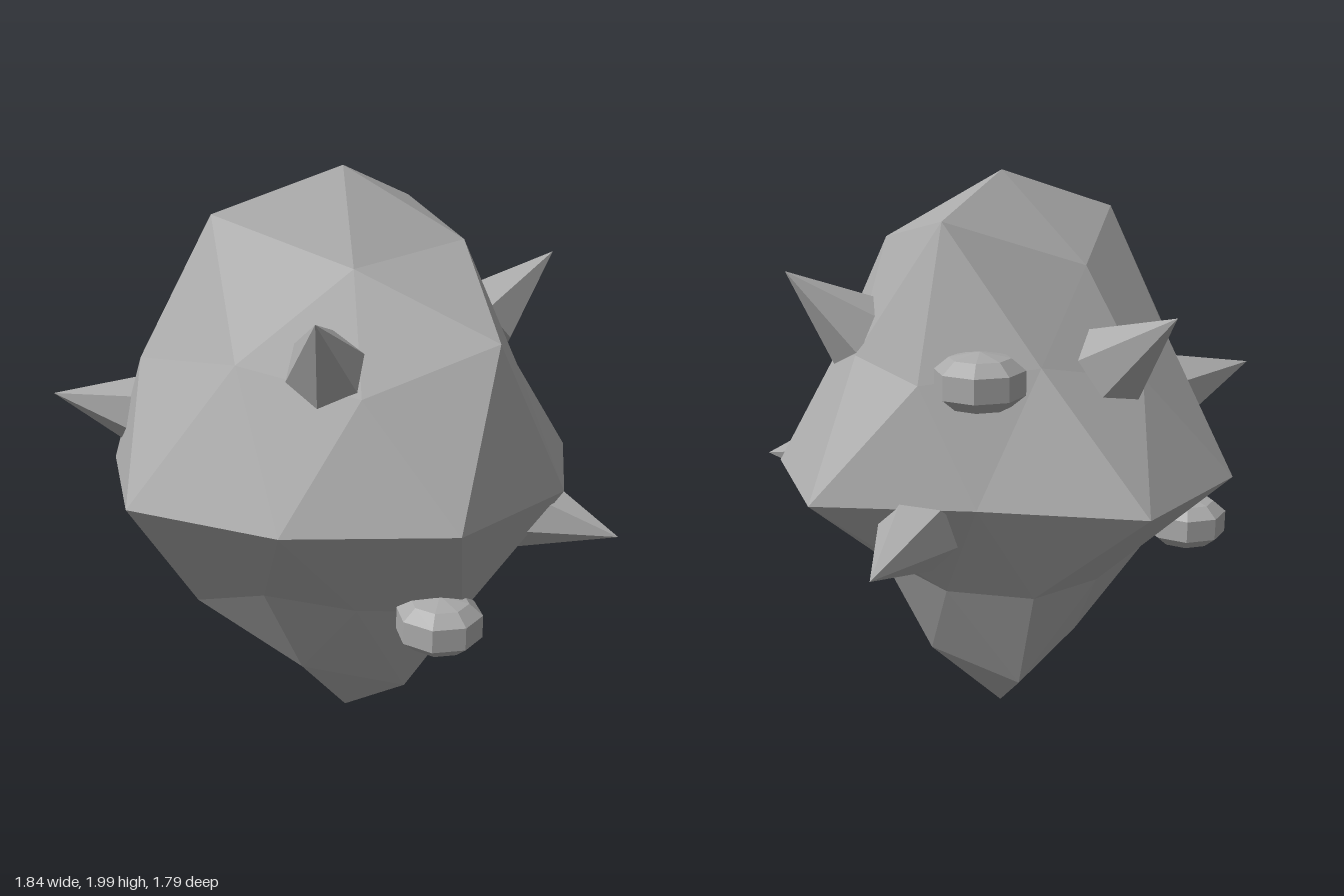
import * as THREE from 'three';

const CENTRE = new THREE.Vector3(-0.034, 1.024, 0.063);
const DEG = Math.PI / 180;

// Latitude rings of the rock: unit height, shaped width and height,
// first longitude (degrees from +z towards +x), then one radius per vertex.
const RINGS = [
  { at: 1, w: 0, h: 1.15, from: 0, r: [0.846] },
  { at: 0.851, w: 0.526, h: 0.978, from: 18, r: [0.713, 0.763, 0.857, 0.70, 0.855] },
  { at: 0.526, w: 0.851, h: 0.6045, from: 54, r: [0.832, 0.65, 0.69, 0.68, 0.727] },
  { at: 0.447, w: 0.894, h: 0.514, from: 18, r: [0.70, 0.66, 0.70, 0.68, 0.781] },
  { at: 0, w: 1, h: 0, from: 0, r: [0.828, 0.867, 0.815, 0.784, 0.8825, 0.70, 0.892, 0.8415, 0.79, 0.875] },
  { at: -0.447, w: 0.733, h: -0.514, from: 54, r: [0.80, 0.65, 0.715, 0.70, 0.69] },
  { at: -0.526, w: 0.6975, h: -0.6045, from: 18, r: [0.66, 0.62, 0.64, 0.64, 0.787] },
  { at: -0.851, w: 0.392, h: -0.978, from: 54, r: [0.815, 0.74, 0.80, 0.714, 0.735] },
  { at: -1, w: 0, h: -1.15, from: 0, r: [0.883] },
];

// Once-divided icosahedron standing on a point, its vertices pushed in and out
function rockGeometry() {
  const verts = [0, 1, 0, 0, -1, 0];
  const faces = [];
  const w = 2 / Math.sqrt(5), h = 1 / Math.sqrt(5);
  for (let k = 0; k < 5; k++) {
    const a = (18 + 72 * k) * DEG, b = (54 + 72 * k) * DEG;
    verts.push(w * Math.sin(a), h, w * Math.cos(a));
    verts.push(w * Math.sin(b), -h, w * Math.cos(b));
    const n = (k + 1) % 5;
    const u = 2 + 2 * k, l = u + 1, u2 = 2 + 2 * n, l2 = u2 + 1;
    faces.push(0, u, u2, u, l, u2, l, l2, u2, 1, l2, l);
  }
  const geo = new THREE.PolyhedronGeometry(verts, faces, 1, 1);
  const pos = geo.attributes.position;
  for (let i = 0; i < pos.count; i++) {
    const y = pos.getY(i);
    const ring = RINGS.reduce((p, q) => (Math.abs(q.at - y) < Math.abs(p.at - y) ? q : p));
    const n = ring.r.length;
    const lon = Math.atan2(pos.getX(i), pos.getZ(i)) / DEG;
    const step = ((Math.round((lon - ring.from) * n / 360) % n) + n) % n;
    const angle = (ring.from + step * 360 / n) * DEG;
    const r = ring.r[step];
    pos.setXYZ(i, ring.w * r * Math.sin(angle), ring.h * r, ring.w * r * Math.cos(angle));
  }
  geo.computeVertexNormals();
  return geo;
}

export function createModel() {
  const model = new THREE.Group();
  model.name = 'spikedRock';
  const stone = new THREE.MeshStandardMaterial({ color: 0xaaaaaa, flatShading: true });
  stone.name = 'grey stone';

  const rock = new THREE.Mesh(rockGeometry(), stone);
  rock.name = 'rockBody';
  rock.position.copy(CENTRE);
  model.add(rock);

  // Spikes point straight out from the centre
  const length = 0.32;
  const spikeGeo = new THREE.ConeGeometry(0.137, length, 6);
  const tips = [
    [0.07, 1.64, 0.84], [0.635, 1.69, -0.268], [-0.925, 1.28, 0.445],
    [0.918, 0.89, 0.333], [0.243, 0.89, -0.895], [-0.615, 1.605, -0.516],
  ];
  tips.forEach((t, i) => {
    const tip = new THREE.Vector3(...t);
    const dir = tip.clone().sub(CENTRE).normalize();
    const spike = new THREE.Mesh(spikeGeo, stone);
    spike.name = 'spike' + (i + 1);
    spike.quaternion.setFromUnitVectors(new THREE.Vector3(0, 1, 0), dir);
    spike.position.copy(tip).addScaledVector(dir, -length / 2);
    model.add(spike);
  });

  // Flattened knobs half sunk into the rock
  const profile = [[0, -0.093], [0.095, -0.075], [0.14, -0.038], [0.14, 0.038], [0.095, 0.075], [0, 0.093]];
  const knobGeo = new THREE.LatheGeometry(profile.map(p => new THREE.Vector2(...p)), 8);
  [[0.378, 0.611, 0.492], [-0.703, 0.775, 0.063], [-0.034, 1.405, -0.54]].forEach((p, i) => {
    const knob = new THREE.Mesh(knobGeo, stone);
    knob.name = 'knob' + (i + 1);
    knob.position.set(...p);
    model.add(knob);
  });

  return model;
}
